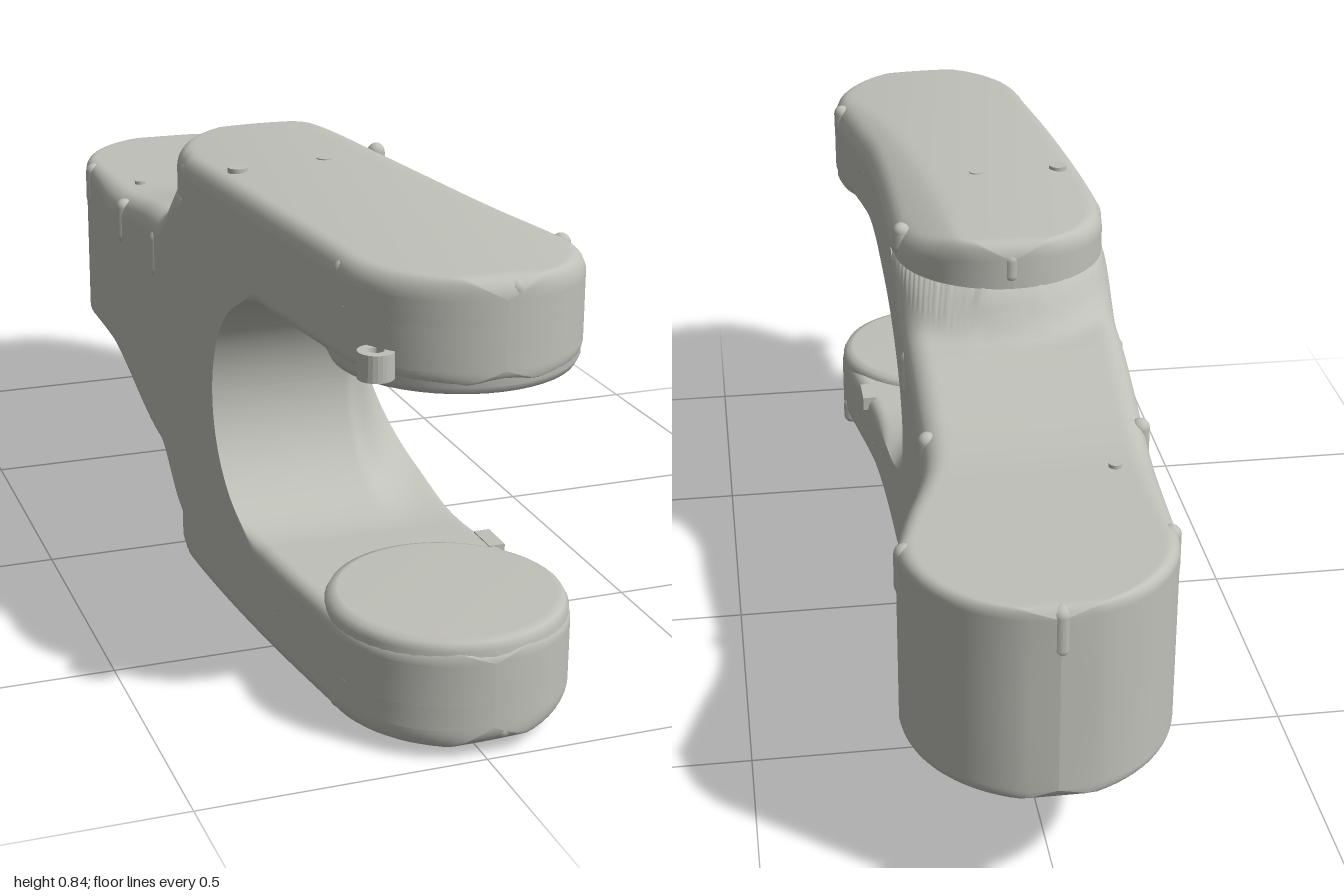
import * as THREE from 'three';

const { lerp, clamp, smoothstep } = THREE.MathUtils;
const MID = 0.42; // height of the mirror plane

// Smooth curve through [z, value] points
function curve(pts) {
  const slope = (i) => {
    const a = pts[Math.max(i - 1, 0)], b = pts[Math.min(i + 1, pts.length - 1)];
    return (b[1] - a[1]) / (b[0] - a[0]);
  };
  return (z) => {
    let i = 0;
    while (i < pts.length - 2 && z > pts[i + 1][0]) i++;
    const [z0, a] = pts[i], [z1, b] = pts[i + 1], h = z1 - z0;
    const s = clamp((z - z0) / h, 0, 1), s2 = s * s, s3 = s2 * s;
    return a * (2 * s3 - 3 * s2 + 1) + b * (3 * s2 - 2 * s3)
      + h * (slope(i) * (s3 - 2 * s2 + s) + slope(i + 1) * (s3 - s2));
  };
}

// Plan outline of the limb, with a round nose at both ends
const rightSide = curve([[-0.76, 0.25], [-0.66, 0.226], [-0.5, 0.178], [-0.4, 0.168], [0.2, 0.165], [0.5, 0.175], [0.65, 0.197], [0.79, 0.22]]);
const leftSide = curve([[-0.76, -0.22], [-0.4, -0.24], [0, -0.256], [0.2, -0.252], [0.5, -0.23], [0.79, -0.2]]);
const arc = (d, r) => Math.sqrt(Math.max(0, 1 - (d / r) ** 2));
function bodyOutline(z) {
  if (z < -0.76) { const w = 0.235 * arc(z + 0.76, 0.24); return [0.015 - w, 0.015 + w]; }
  if (z > 0.79) { const w = 0.21 * arc(z - 0.79, 0.21); return [0.01 - w, 0.01 + w]; }
  return [leftSide(z), rightSide(z)];
}
function capOutline(z) {
  const [l, r] = bodyOutline(z);
  if (z > 0.105) return [l, r];
  const w = 0.205 * arc(z - 0.105, 0.205);
  return [Math.max(l, -0.045 - w), Math.min(r, -0.045 + w)];
}

// Drop of a rounded edge of radius r at distance d from the rim
const roundEdge = (d, r) => (d >= r ? 0 : r - Math.sqrt(Math.max(0, r * r - (r - d) ** 2)));
const ease = (s) => 0.5 - 0.5 * Math.cos(Math.PI * s);

// Grid surface from a rule f(u, v) -> [x, y, z]
function sheet(f, nu, nv, flip) {
  const pos = [], idx = [];
  for (let j = 0; j <= nv; j++) for (let i = 0; i <= nu; i++) pos.push(...f(i / nu, j / nv));
  for (let j = 0; j < nv; j++) for (let i = 0; i < nu; i++) {
    const a = j * (nu + 1) + i, b = a + 1, c = a + nu + 1, d = c + 1;
    if (flip) idx.push(a, b, c, b, d, c);
    else idx.push(a, c, b, b, c, d);
  }
  const g = new THREE.BufferGeometry();
  g.setAttribute('position', new THREE.Float32BufferAttribute(pos, 3));
  g.setIndex(idx);
  g.computeVertexNormals();
  return g;
}

// Body: position along z, with underside height, for a place across (t) and along (v)
function bodyStation(t, v) {
  const back = 0.28 - 0.33 * clamp((t - 0.66) / 0.34, 0, 1) ** 1.4; // fork throat, cut back on the +x side
  if (v <= 0.5) {
    const s = v * 2;
    return [lerp(-1, back, 1 - Math.cos(s * Math.PI / 2) * (1 - 0.35 * s)), MID];
  }
  if (v <= 0.8) {
    const a = (v - 0.5) / 0.3 * Math.PI / 2;
    return [back + (0.5 - back) * (1 - Math.cos(a)), MID + 0.225 * Math.sin(a)];
  }
  return [lerp(0.5, 1, Math.sin((v - 0.8) / 0.2 * Math.PI / 2)), MID + 0.225];
}
function bodyPoint(t, v) {
  const [z, under] = bodyStation(t, v), [l, r] = bodyOutline(z), x = lerp(l, r, t);
  const d = Math.min(x - l, r - x, z + 1, 1 - z);
  const base = lerp(0.603, 0.665, smoothstep(z, -0.56, -0.06));
  const outside = z > 0.105 ? 0 : Math.hypot(x + 0.045, z - 0.105) - 0.205;
  const flare = clamp(1 - outside / 0.07, 0, 1) ** 2; // neck rising to the cap
  const bevel = lerp(0.02, 0.045, smoothstep(z, -0.9, -0.5));
  const top = lerp(base - roundEdge(d, bevel), 0.745, flare);
  const bottom = under + (v > 0.72 ? roundEdge(d, 0.025) * smoothstep(v, 0.72, 0.8) : 0);
  return { x, z, top, bottom };
}

// Cap: domed cover with a sloping crescent on its +x side
const crescent = curve([[-0.1, 0.05], [0.1, 0.06], [0.35, 0.085], [0.6, 0.125], [0.8, 0.18], [1, 0.23]]);
function capPoint(t, v) {
  const z = lerp(-0.1, 1, ease(v)), [l, r] = capOutline(z), x = lerp(l, r, t);
  const d = Math.min(x - l, r - x, z + 0.1, 1 - z);
  const slope = clamp((x - crescent(z)) / 0.1, 0, 1);
  const top = 0.839 - 0.02 * ((z - 0.3) / 0.7) ** 2 - 0.25 * (x + 0.03) ** 2
    - 0.04 * slope ** 1.3 - 1.2 * roundEdge(d, 0.028);
  return { x, z, top: Math.max(top, 0.75), bottom: 0.742 };
}

export function createModel() {
  const group = new THREE.Group();
  const shell = new THREE.MeshStandardMaterial({ color: 0xbfc0b8 });
  const add = (name, geo, x = 0, y = 0, z = 0) => {
    const m = new THREE.Mesh(geo, shell);
    m.name = name;
    m.position.set(x, y, z);
    group.add(m);
    return m;
  };

  // Both halves of the body and caps, mirrored about the middle height
  for (const upper of [true, false]) {
    const side = upper ? 'upper' : 'lower';
    const h = (y) => (upper ? y : 2 * MID - y);
    const shape = (name, point, nu, nv, from) => {
      add(name + 'Outer', sheet((u, v) => {
        const p = point(ease(u), v);
        return [p.x, h(p.top), p.z];
      }, nu, nv, !upper));
      add(name + 'Inner', sheet((u, v) => {
        const p = point(ease(u), lerp(from, 1, v));
        return [p.x, h(p.bottom), p.z];
      }, nu, Math.round(nv * (1 - from)), upper));
      for (const t of [0, 1]) add(name + 'Side', sheet((u, v) => {
        const p = point(t, v);
        return [p.x, h(lerp(p.bottom, p.top, u)), p.z];
      }, 1, nv, (t === 1) === upper));
    };
    shape(side + 'Body', bodyPoint, 48, 140, 0.5);
    shape(side + 'Cap', capPoint, 36, 60, 0);

    // Round joint pad on the inside of the fork tip
    const pad = new THREE.LatheGeometry([[0, 0], [0.185, 0], [0.2, 0.005], [0.207, 0.018], [0.207, 0.06]]
      .map(([r, y]) => new THREE.Vector2(r, y)), 48);
    const padMesh = add(side + 'JointPad', pad, 0.01, h(0.628), 0.79);
    if (!upper) padMesh.rotation.x = Math.PI;
    shell.side = THREE.DoubleSide;

    // Screws around the rim of the cap
    for (const [x, z] of [[-0.043, -0.086], [-0.236, 0.11], [0.147, 0.08], [-0.184, 0.8], [0.205, 0.775], [0.03, 0.982]])
      add(side + 'CapScrew', new THREE.CapsuleGeometry(0.017, 0.03, 4, 12), x, h(0.782), z);
    // Small pins on the cap face
    add(side + 'CapPin', new THREE.CylinderGeometry(0.018, 0.018, 0.03, 16), -0.195, h(0.825), 0.28);
    add(side + 'CapStud', new THREE.CylinderGeometry(0.014, 0.014, 0.02, 16), -0.025, h(0.831), 0.265);
  }

  // Screw bosses along the top rim of the rear limb
  for (const [x, z, y] of [[-0.208, -0.77, 0.555], [0.236, -0.77, 0.555], [0.013, -0.984, 0.555],
    [-0.23, -0.41, 0.565], [0.156, -0.41, 0.565], [-0.242, -0.1, 0.58], [0.153, -0.1, 0.58]])
    add('bodyScrew', new THREE.CapsuleGeometry(0.018, 0.06, 4, 12), x, y, z);
  add('bodyPin', new THREE.CylinderGeometry(0.012, 0.012, 0.02, 16), -0.155, 0.6, -0.56);

  // Eyelet on the upper fork tip
  const ring = new THREE.Shape().absarc(0, 0, 0.03, 0, Math.PI * 2);
  ring.holes.push(new THREE.Path().absarc(0, 0, 0.013, 0, Math.PI * 2, true));
  const eyelet = add('eyelet', new THREE.ExtrudeGeometry(ring, { depth: 0.045, bevelEnabled: false, curveSegments: 12 }), -0.172, 0.697, 0.915);
  eyelet.rotation.x = Math.PI / 2;
  add('eyeletArm', new THREE.BoxGeometry(0.03, 0.045, 0.035), -0.143, 0.6745, 0.9);

  // Small clip on the lower arm
  add('clip', new THREE.BoxGeometry(0.03, 0.03, 0.07), 0.178, 0.182, 0.59);
  return group;
}
